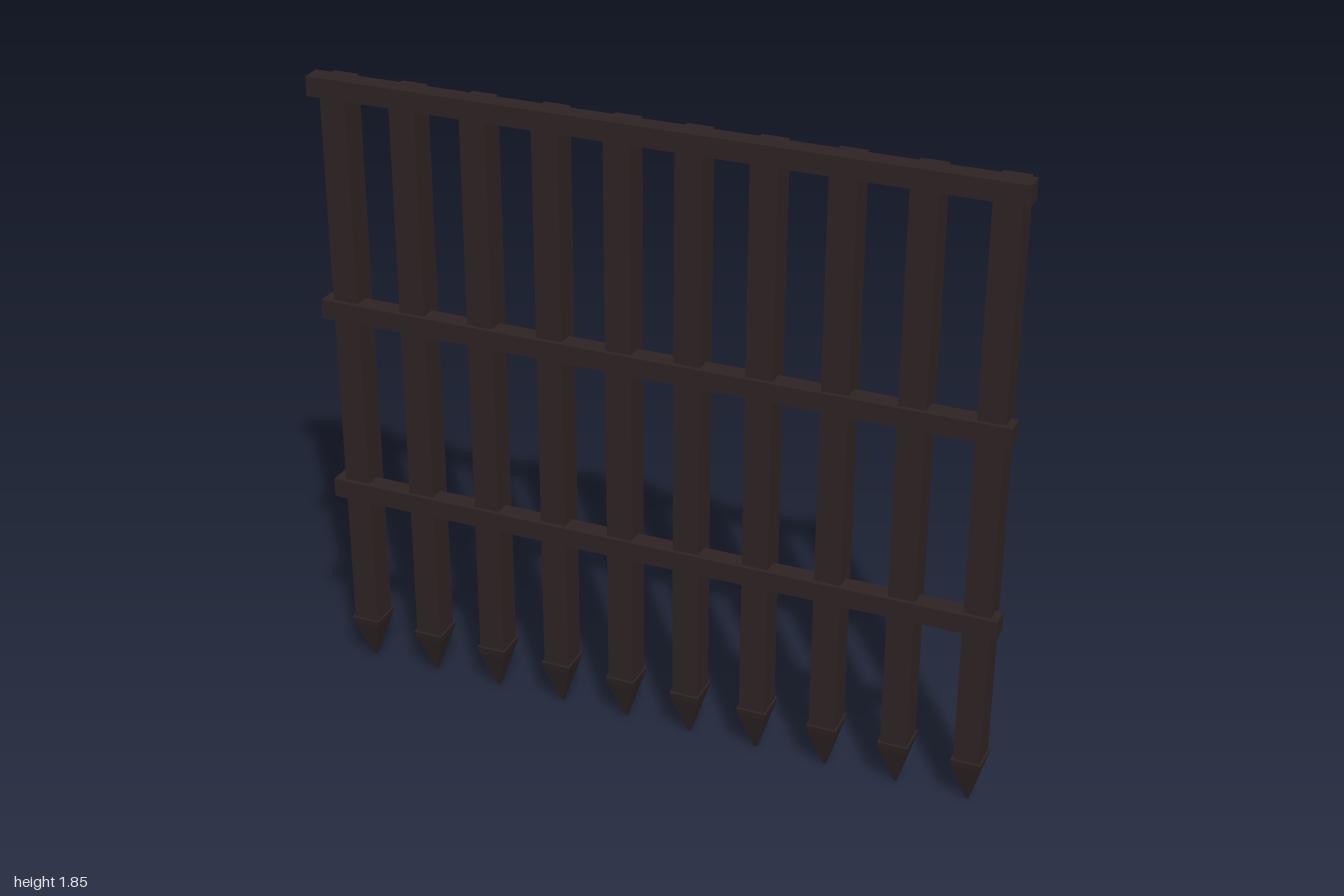
import * as THREE from 'three';

const wood = new THREE.MeshStandardMaterial({ color: 0x2c2322 });
wood.name = 'dark wood';

function box(name, w, h, d, x, y, z) {
  const mesh = new THREE.Mesh(new THREE.BoxGeometry(w, h, d), wood);
  mesh.name = name;
  mesh.position.set(x, y, z);
  return mesh;
}

// Four-sided tapered block with square sections of unit width scaled to w and d
function taper(topScale, bottomScale, h, w, d, y) {
  const r = Math.SQRT1_2;
  const g = new THREE.CylinderGeometry(r * topScale, r * bottomScale, h, 4).toNonIndexed();
  g.rotateY(Math.PI / 4);
  g.scale(w, 1, d);
  g.translate(0, y, 0);
  g.computeVertexNormals();
  return new THREE.Mesh(g, wood);
}

export function createModel() {
  const model = new THREE.Group();
  model.name = 'spikedGate';

  // Upright bars, each ending in a downward spike with a slightly wider shoulder
  const xs = [-0.93, -0.72, -0.51, -0.3, -0.095, 0.105, 0.31, 0.52, 0.73, 0.94];
  for (const x of xs) {
    const upright = new THREE.Group();
    upright.name = 'upright';
    upright.position.x = x;
    upright.add(box('bar', 0.076, 1.703, 0.084, 0, 0.9915, -0.003));
    const shoulder = taper(1, 0.9, 0.022, 0.088, 0.1, 0.137);
    shoulder.name = 'spikeShoulder';
    const point = taper(0.9, 0.1, 0.126, 0.088, 0.1, 0.063);
    point.name = 'spikePoint';
    shoulder.position.z = point.position.z = -0.003;
    upright.add(shoulder, point);
    model.add(upright);
  }

  // Cross rails set into the front of the bars
  for (const y of [0.592, 1.167, 1.825]) {
    model.add(box('crossRail', 2, 0.056, 0.059, 0, y, 0.0235));
  }
  return model;
}
